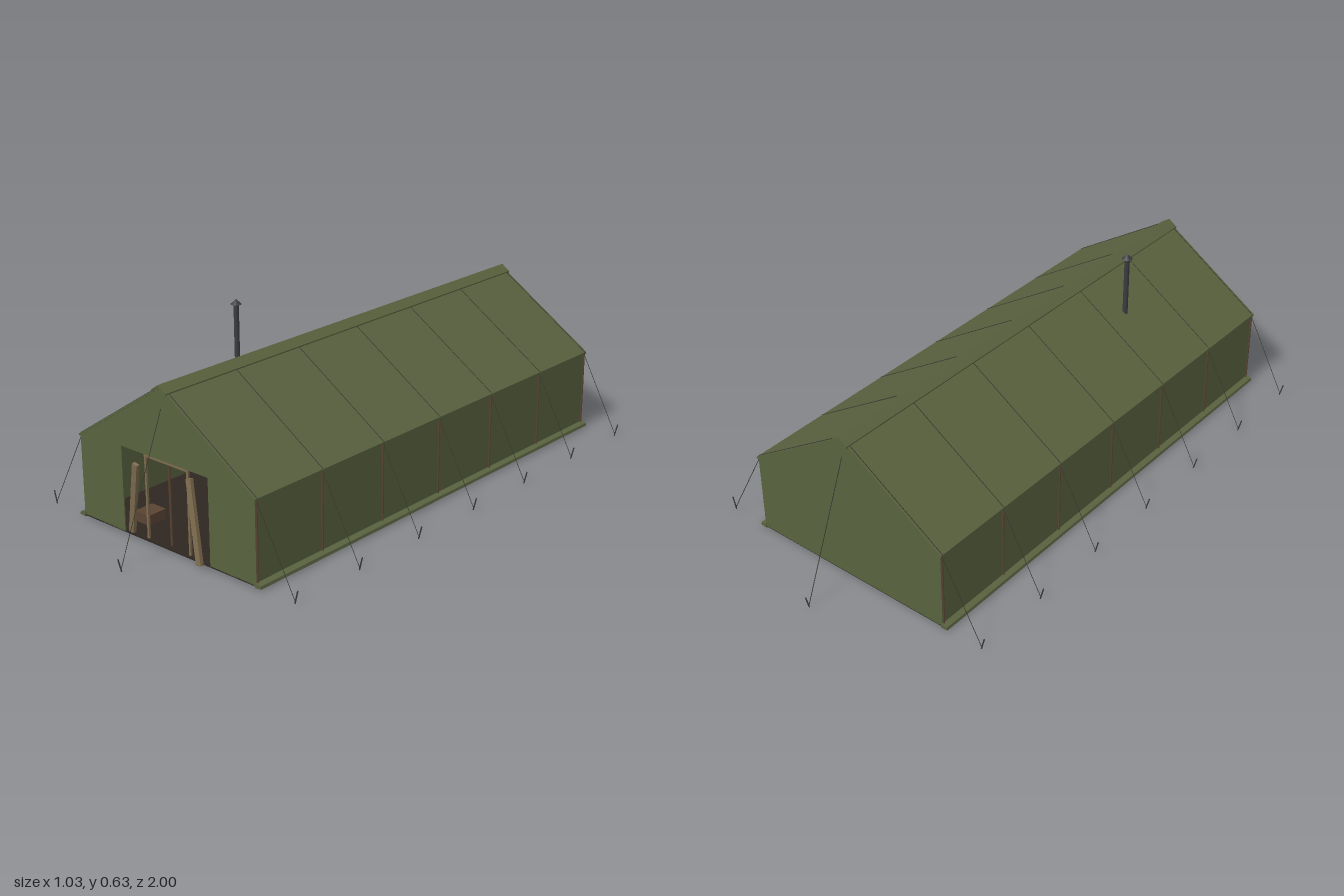
import * as THREE from 'three';

const mat = (color) => new THREE.MeshStandardMaterial({ color, side: THREE.DoubleSide });
const canvas = mat(0x59623f);
const canvasDark = mat(0x434a31);
const wood = mat(0x7d6b4e);
const darkWood = mat(0x5a4433);
const iron = mat(0x3a3c40);
const floorMat = mat(0x2e2620);
const ropeMat = mat(0x3a3930);

const HALF_W = 0.362, HALF_L = 0.812, EAVE = 0.273, RIDGE = 0.511, BASE = 0.01;
const RIBS = [-0.807, -0.538, -0.269, 0, 0.269, 0.538, 0.807];

export function createModel() {
  const root = new THREE.Group();
  const add = (name, geo, material, x = 0, y = 0, z = 0) => {
    const m = new THREE.Mesh(geo, material);
    m.name = name;
    m.position.set(x, y, z);
    root.add(m);
    return m;
  };
  const box = (name, material, w, h, d, x, y, z) =>
    add(name, new THREE.BoxGeometry(w, h, d), material, x, y, z);
  // round bar between two points
  const bar = (name, material, a, b, r, sides = 6) => {
    const p = new THREE.Vector3(...a), q = new THREE.Vector3(...b);
    const dir = q.clone().sub(p);
    const m = add(name, new THREE.CylinderGeometry(r, r, dir.length(), sides), material);
    m.position.copy(p).add(q).multiplyScalar(0.5);
    m.quaternion.setFromUnitVectors(new THREE.Vector3(0, 1, 0), dir.normalize());
    return m;
  };
  // canvas sheet with a cross-section in x/y, extruded along the tent
  const sheet = (name, material, pts, zMin, zMax) => {
    const shape = new THREE.Shape(pts.map(([x, y]) => new THREE.Vector2(x, y)));
    const geo = new THREE.ExtrudeGeometry(shape, { depth: zMax - zMin, bevelEnabled: false });
    return add(name, geo, material, 0, 0, zMin);
  };

  // ground sheet
  box('floor', floorMat, HALF_W * 2, 0.004, HALF_L * 2, 0, 0.01, 0);

  // gable ends: closed at the back, doorway notch at the front
  const gable = [[HALF_W, BASE], [HALF_W, EAVE], [0, RIDGE], [-HALF_W, EAVE], [-HALF_W, BASE]];
  const doorway = [[-0.18, BASE], [-0.18, 0.285], [0.18, 0.285], [0.18, BASE]];
  sheet('backWall', canvas, gable, -HALF_L, -HALF_L + 0.004);
  sheet('frontWall', canvas, [...gable, ...doorway], HALF_L - 0.004, HALF_L);

  for (const s of [-1, 1]) {
    // side wall, roof slope and ridge cap
    box('sideWall', canvas, 0.004, EAVE - BASE, HALF_L * 2, s * (HALF_W - 0.002), (EAVE + BASE) / 2, 0);
    sheet('roofSlope', canvas,
      [[0, 0.514], [s * 0.367, 0.275], [s * 0.367, 0.268], [0, 0.507]], -0.815, 0.815);
    sheet('ridgeCap', canvas,
      [[0, 0.519], [s * 0.03, 0.4985], [s * 0.03, 0.492], [0, 0.512]], -0.82, 0.82);
    bar('eavePole', darkWood, [s * 0.355, 0.266, -0.8], [s * 0.355, 0.266, 0.8], 0.004);

    // ground flap along the wall foot
    sheet('groundFlap', canvas,
      [[s * 0.358, 0.022], [s * 0.38, 0.016], [s * 0.382, 0.007], [s * 0.358, 0.005]], -0.815, 0.815);

    for (const z of RIBS) {
      // wall pole, rafter, roof seam, guy rope and stake at every rib
      bar('wallPole', darkWood, [s * 0.363, BASE, z], [s * 0.363, 0.268, z], 0.0035);
      bar('rafter', darkWood, [0, 0.5, z * 0.99], [s * 0.356, 0.264, z * 0.99], 0.004);
      bar('roofSeam', ropeMat, [s * 0.03, 0.4955, z], [s * 0.367, 0.2755, z], 0.0014, 4);
      bar('guyRope', ropeMat, [s * 0.366, 0.264, z], [s * 0.502, 0.012, z], 0.0012, 4);
      bar('stake', iron, [s * 0.502, 0.003, z], [s * 0.513, 0.045, z], 0.0022, 5);
    }

    // end ropes from the gable peak
    bar('endRope', ropeMat, [0, 0.445, s * 0.813], [0, 0.012, s * 0.987], 0.0014, 4);
    bar('endStake', iron, [0, 0.003, s * 0.987], [0, 0.045, s * 0.998], 0.0022, 5);

    // door posts
    box('doorPost', wood, 0.007, 0.27, 0.007, s * 0.088, 0.145, 0.8);

    // crates just inside the doorway
    box('crate', darkWood, 0.06, 0.037, 0.07, s * 0.18, 0.0265, 0.71);
  }
  box('doorLintel', wood, 0.183, 0.008, 0.008, 0, 0.277, 0.8);

  // slanted planks at the doorway
  const plank = (a, b) => {
    const m = bar('doorPlank', wood, a, b, 0.01);
    m.geometry.dispose();
    const len = new THREE.Vector3(...a).distanceTo(new THREE.Vector3(...b));
    m.geometry = new THREE.BoxGeometry(0.02, len, 0.012);
  };
  plank([-0.158, 0.014, 0.803], [-0.096, 0.256, 0.832]);
  plank([0.158, 0.014, 0.832], [0.096, 0.256, 0.803]);

  // ridge pole and the centre poles under it
  bar('ridgePole', darkWood, [0, 0.503, -0.805], [0, 0.503, 0.805], 0.005);
  for (const z of RIBS) bar('centrePole', darkWood, [0, BASE, z * 0.98], [0, 0.503, z * 0.98], 0.004);

  // stove with chimney and rain cap
  const sx = -0.145, sz = 0.36;
  box('stoveBody', iron, 0.06, 0.065, 0.09, sx, 0.07, sz);
  for (const i of [-1, 1]) for (const j of [-1, 1])
    box('stoveLeg', iron, 0.007, 0.03, 0.007, sx + i * 0.024, 0.024, sz + j * 0.038);
  box('stoveBase', darkWood, 0.08, 0.006, 0.11, sx, 0.011, sz);
  bar('chimney', iron, [sx, 0.1, sz], [sx, 0.618, sz], 0.0085, 12);
  add('chimneyCap', new THREE.ConeGeometry(0.017, 0.016, 12), iron, sx, 0.626, sz);

  // small table across from the stove
  box('tableTop', wood, 0.09, 0.006, 0.14, 0.187, 0.09, 0.34);
  for (const i of [-1, 1]) for (const j of [-1, 1])
    box('tableLeg', wood, 0.007, 0.078, 0.007, 0.187 + i * 0.038, 0.049, 0.34 + j * 0.062);

  return root;
}
